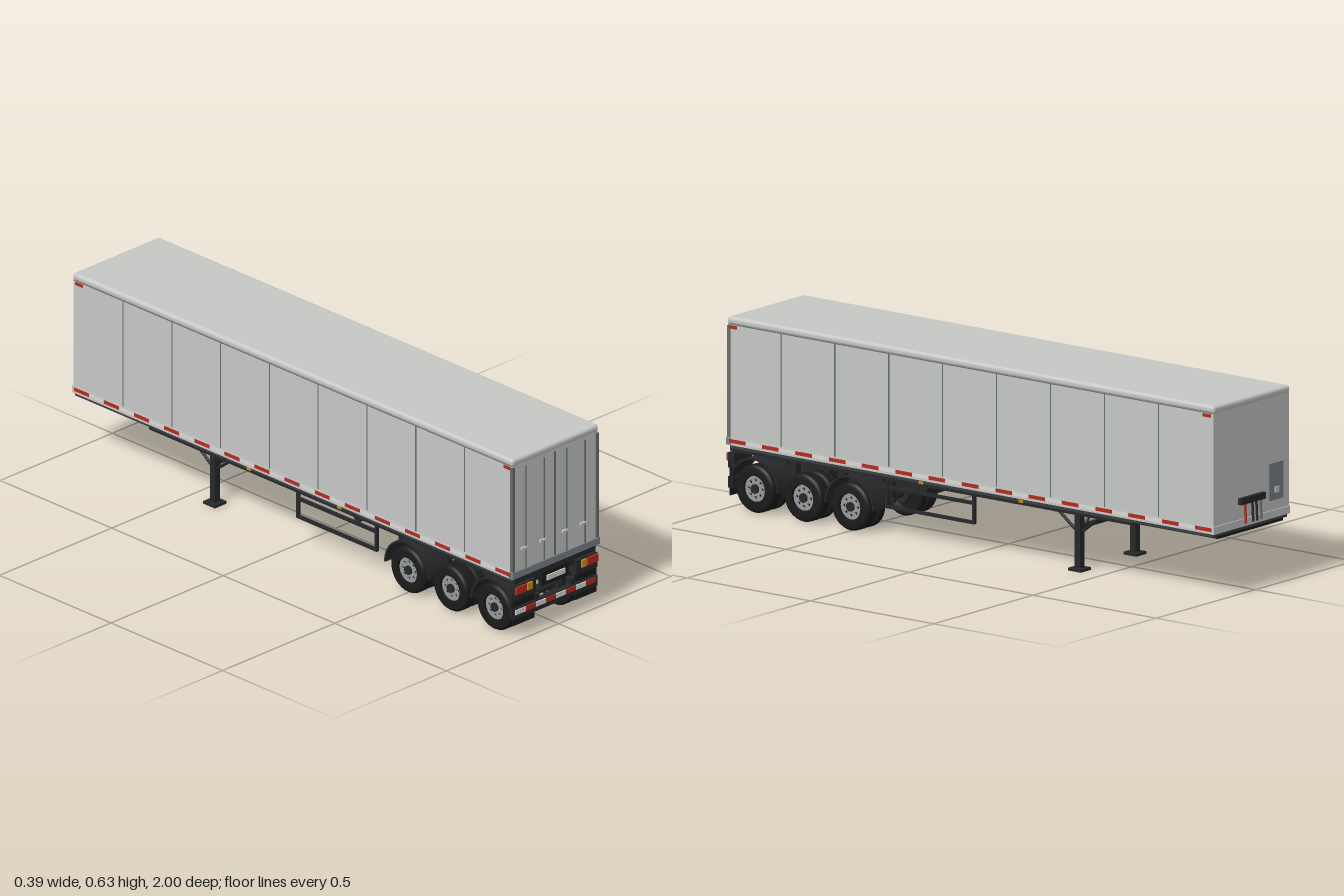
import * as THREE from 'three';
import { RoundedBoxGeometry } from 'three/addons/geometries/RoundedBoxGeometry.js';

const material = (name, color) => {
  const m = new THREE.MeshStandardMaterial({ color });
  m.name = name;
  return m;
};

export function createModel() {
  const panel = material('panelGrey', 0xc6c8c6);
  const steel = material('steelGrey', 0x7c8187);
  const seam = material('seamGrey', 0x6a6d6d);
  const dark = material('chassisBlack', 0x27282a);
  const floorGrey = material('floorGrey', 0x3c3e41);
  const rubber = material('tyreBlack', 0x1b1b1c);
  const red = material('red', 0xb52a1e);
  const amber = material('amber', 0xd08818);
  const white = material('reflectorWhite', 0xdadbd8);
  const rimGrey = material('rimGrey', 0x96999b);

  const model = new THREE.Group();
  model.name = 'boxTrailer';

  const add = (name, geometry, mat, x = 0, y = 0, z = 0, parent = model) => {
    const mesh = new THREE.Mesh(geometry, mat);
    mesh.name = name;
    mesh.position.set(x, y, z);
    parent.add(mesh);
    return mesh;
  };
  // Box given by its ranges on each axis
  const box = (name, mat, [x0, x1], [y0, y1], [z0, z1], parent = model) =>
    add(name, new THREE.BoxGeometry(x1 - x0, y1 - y0, z1 - z0), mat,
      (x0 + x1) / 2, (y0 + y1) / 2, (z0 + z1) / 2, parent);
  // Box repeated on both sides of x = 0
  const pair = (name, mat, [x0, x1], y, z) => {
    box(name + 'Left', mat, [x0, x1], y, z);
    box(name + 'Right', mat, [-x1, -x0], y, z);
  };
  // Round bar between two points
  const bar = (name, mat, a, b, r) => {
    const p = new THREE.Vector3(...a), q = new THREE.Vector3(...b);
    const d = q.clone().sub(p);
    const mesh = add(name, new THREE.CylinderGeometry(r, r, d.length(), 10), mat);
    mesh.position.copy(p).add(q).multiplyScalar(0.5);
    mesh.quaternion.setFromUnitVectors(new THREE.Vector3(0, 1, 0), d.normalize());
  };

  // Cargo box, roof cap and lower rails
  box('cargoBox', panel, [-0.19, 0.19], [0.213, 0.612], [-0.983, 0.983]);
  add('roofCap', new RoundedBoxGeometry(0.386, 0.026, 1.974, 4, 0.011), panel, 0, 0.615, 0);
  pair('bottomRail', panel, [0.188, 0.1925], [0.211, 0.236], [-0.985, 0.985]);
  box('frontRail', panel, [-0.1925, 0.1925], [0.211, 0.236], [-0.987, -0.98]);
  pair('roofSeam', seam, [0.189, 0.1905], [0.602, 0.605], [-0.983, 0.983]);
  for (let i = 0; i < 8; i++) {
    const z = 0.77 - i * 0.2186;
    pair('panelSeam', seam, [0.189, 0.1907], [0.236, 0.603], [z - 0.002, z + 0.002]);
  }
  for (let i = 0; i < 29; i++) {
    const z = 0.945 - i * 0.0675;
    pair('sideReflector', i % 2 ? white : red, [0.191, 0.1935], [0.219, 0.231], [z - 0.033, z + 0.033]);
  }
  for (const z of [0.963, -0.957])
    pair('cornerMarker', red, [0.189, 0.193], [0.59, 0.6], [z - 0.016, z + 0.016]);

  // Rear doors: posts, sill, lock rods and handles
  pair('doorPost', seam, [0.181, 0.192], [0.235, 0.599], [0.975, 0.987]);
  box('rearSill', steel, [-0.193, 0.193], [0.212, 0.235], [0.97, 0.991]);
  box('doorGap', rubber, [-0.0015, 0.0015], [0.235, 0.596], [0.98, 0.985]);
  for (const x of [-0.132, -0.05, 0.05, 0.132]) {
    bar('lockRod', seam, [x, 0.235, 0.986], [x, 0.592, 0.986], 0.0028);
    box('lockHandle', panel, [x - 0.023, x + 0.003], [0.303, 0.311], [0.985, 0.992]);
  }

  // Front wall: hose connector bar, hoses and document box
  box('connectorBar', dark, [-0.058, 0.066], [0.285, 0.306], [-0.997, -0.982]);
  [[0.042, red], [0.005, dark], [-0.015, dark], [-0.036, seam]].forEach(([x, mat]) =>
    bar('airHose', mat, [x, 0.288, -0.992], [x, 0.222, -0.996], 0.004));
  box('documentBox', steel, [-0.155, -0.085], [0.27, 0.39], [-0.99, -0.982]);
  box('documentLatch', panel, [-0.13, -0.11], [0.293, 0.313], [-0.993, -0.989]);

  // Floor, kingpin plate and main beams
  box('floor', floorGrey, [-0.186, 0.186], [0.2, 0.213], [-0.98, 0.98]);
  box('kingpinPlate', rubber, [-0.165, 0.165], [0.192, 0.201], [-0.98, -0.57]);
  bar('kingpin', dark, [0, 0.193, -0.76], [0, 0.163, -0.76], 0.01);
  for (const s of [1, -1]) {
    box('beamWeb', dark, [s * 0.075 - 0.004, s * 0.075 + 0.004], [0.18, 0.201], [-0.66, 0.965]);
    box('beamFlange', dark, [s * 0.075 - 0.013, s * 0.075 + 0.013], [0.176, 0.183], [-0.66, 0.965]);
  }
  pair('outerRail', dark, [0.172, 0.184], [0.19, 0.201], [-0.65, 0.97]);
  for (let i = 0; i < 9; i++) {
    const z = -0.5 + i * 0.17;
    box('crossMember', dark, [-0.172, 0.172], [0.186, 0.201], [z - 0.01, z + 0.01]);
  }

  // Wheels, built facing +x
  const tyreGeo = (w) => new THREE.LatheGeometry([
    [0.044, -w], [0.066, -w], [0.074, -w * 0.85], [0.078, -w * 0.6], [0.078, w * 0.6],
    [0.074, w * 0.85], [0.066, w], [0.044, w], [0.044, -w],
  ].map(([r, y]) => new THREE.Vector2(r, y)), 32).rotateZ(Math.PI / 2);
  const outerTyre = tyreGeo(0.0255), innerTyre = tyreGeo(0.0165);
  const rimShape = new THREE.Shape().absarc(0, 0, 0.042, 0, Math.PI * 2, false);
  for (let i = 0; i < 8; i++) {
    const a = (i / 8) * Math.PI * 2;
    rimShape.holes.push(new THREE.Path().absarc(Math.cos(a) * 0.028, Math.sin(a) * 0.028, 0.0052, 0, Math.PI * 2, true));
  }
  const rimGeo = new THREE.ExtrudeGeometry(rimShape, { depth: 0.005, bevelEnabled: false, curveSegments: 10 }).rotateY(Math.PI / 2);
  const disc = (r, w, n = 24) => new THREE.CylinderGeometry(r, r, w, n).rotateZ(Math.PI / 2);

  const fenderShape = new THREE.Shape();
  fenderShape.absarc(0, 0, 0.1, 0, Math.PI, false);
  fenderShape.absarc(0, 0, 0.094, Math.PI, 0, true);
  const fenderGeo = new THREE.ExtrudeGeometry(fenderShape, { depth: 0.092, bevelEnabled: false, curveSegments: 20 }).rotateY(Math.PI / 2);

  const axles = [0.888, 0.692, 0.501];
  axles.forEach((z, i) => {
    add('axle', disc(0.016, 0.3, 14), dark, 0, 0.078, z);
    for (const s of [1, -1]) {
      const wheel = new THREE.Group();
      wheel.name = s > 0 ? 'wheelLeft' : 'wheelRight';
      wheel.position.set(0, 0.078, z);
      wheel.rotation.y = s > 0 ? 0 : Math.PI;
      model.add(wheel);
      add('outerTyre', outerTyre, rubber, 0.1535, 0, 0, wheel);
      add('innerTyre', innerTyre, rubber, 0.1055, 0, 0, wheel);
      add('wheelBack', disc(0.045, 0.07), rubber, 0.13, 0, 0, wheel);
      add('rim', rimGeo, rimGrey, 0.166, 0, 0, wheel);
      add('hub', disc(0.015, 0.016), dark, 0.17, 0, 0, wheel);
      add('brakeDrum', disc(0.034, 0.02), dark, 0.088, 0, 0, wheel);
      // Suspension hanger and trailing arm
      box('hanger', dark, [s * 0.094 - 0.012, s * 0.094 + 0.012], [0.11, 0.2], [z - 0.112, z - 0.084]);
      box('trailingArm', dark, [s * 0.08 - 0.008, s * 0.08 + 0.008], [0.09, 0.112], [z - 0.105, z + 0.03]);
      if (i !== 1) add('fender', fenderGeo, dark, s > 0 ? 0.09 : -0.182, 0.079, z);
    }
  });

  // Rear frame, mud flaps, bumper and lamps
  box('rearCrossBeam', dark, [-0.181, 0.181], [0.19, 0.212], [0.955, 0.984]);
  pair('mudFlap', rubber, [0.09, 0.185], [0.046, 0.156], [0.978, 0.983]);
  pair('lampBox', dark, [0.09, 0.184], [0.135, 0.185], [0.965, 0.989]);
  pair('lampBracket', dark, [0.062, 0.09], [0.173, 0.192], [0.965, 0.982]);
  pair('bumperBracket', dark, [0.07, 0.09], [0.1, 0.126], [0.96, 0.985]);
  box('bumper', dark, [-0.184, 0.184], [0.07, 0.106], [0.97, 0.99]);
  for (let i = 0; i < 8; i++) {
    const x = -0.183 + i * 0.0445;
    box('bumperReflector', i % 2 ? red : white, [x, x + 0.0445], [0.087, 0.103], [0.988, 0.994]);
  }
  pair('tailLamp', red, [0.137, 0.182], [0.157, 0.182], [0.987, 0.996]);
  pair('turnLamp', amber, [0.11, 0.131], [0.157, 0.182], [0.987, 0.996]);
  box('plateHolder', rubber, [-0.059, 0.059], [0.145, 0.191], [0.975, 0.986]);
  box('plate', white, [-0.04, 0.04], [0.16, 0.178], [0.984, 0.99]);

  // Side guards, air tank and side markers
  for (const y of [0.1, 0.163])
    pair('sideGuardBar', dark, [0.165, 0.175], [y - 0.005, y + 0.005], [0, 0.36]);
  for (const z of [0.004, 0.355])
    pair('sideGuardPost', dark, [0.164, 0.174], [0.096, 0.201], [z - 0.005, z + 0.005]);
  add('airTank', disc(0.02, 0.28, 20), dark, 0, 0.168, 0.24);
  for (const z of [0.205, -0.2])
    pair('sideMarker', amber, [0.183, 0.188], [0.198, 0.207], [z - 0.009, z + 0.009]);

  // Landing legs with braces and feet
  for (const s of [1, -1]) {
    const x = s * 0.14;
    box('landingLeg', dark, [x - 0.011, x + 0.011], [0.008, 0.201], [-0.411, -0.389]);
    box('landingFoot', dark, [x - 0.026, x + 0.026], [0, 0.009], [-0.426, -0.374]);
    for (const z of [-0.296, -0.504])
      bar('landingBrace', dark, [x, 0.198, z], [x, 0.118, -0.4], 0.005);
    bar('inwardBrace', dark, [x, 0.11, -0.4], [s * 0.075, 0.185, -0.4], 0.005);
  }
  box('landingCrossBar', dark, [-0.14, 0.14], [0.135, 0.148], [-0.406, -0.394]);

  return model;
}
